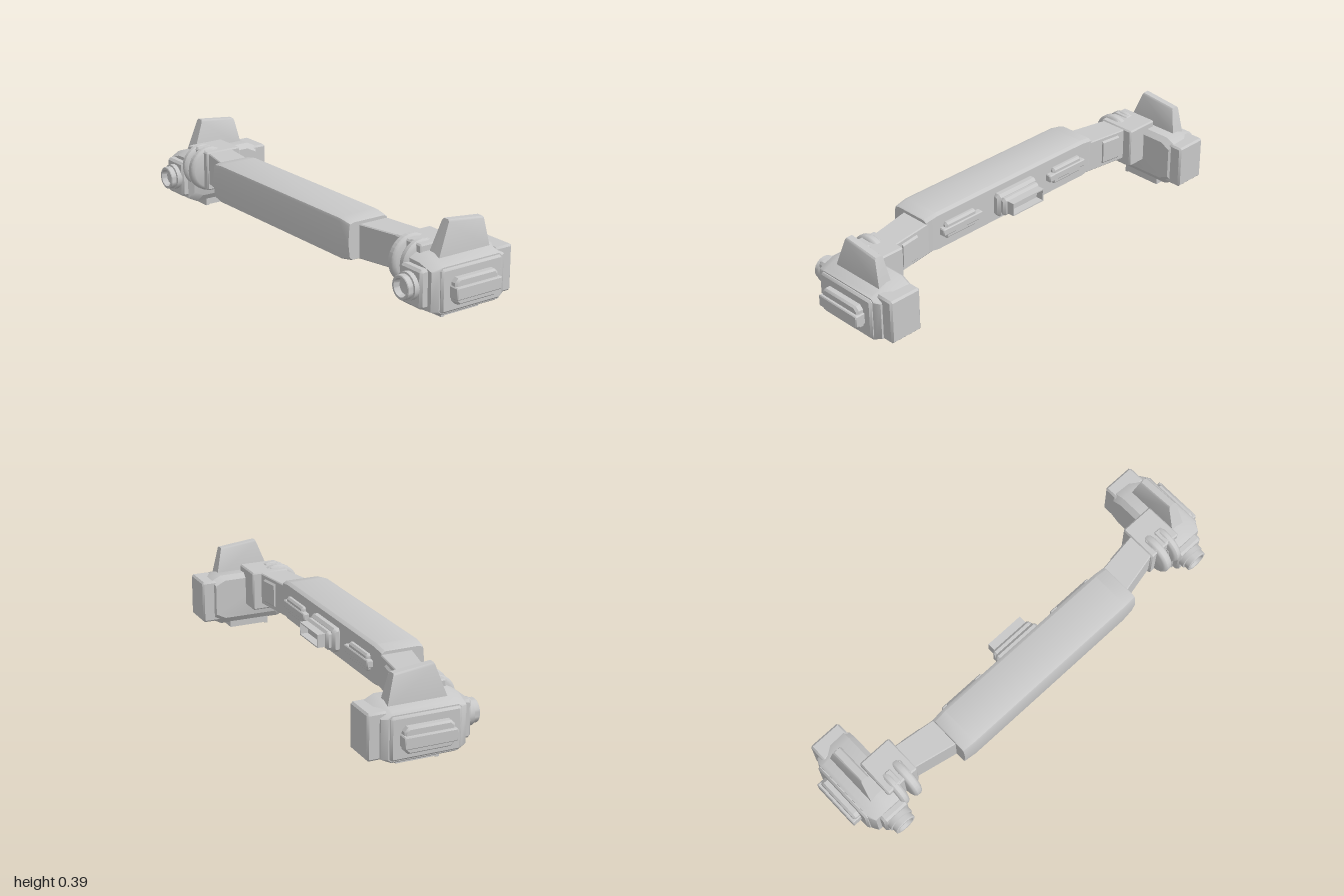
import * as THREE from 'three';
import { toCreasedNormals } from 'three/addons/utils/BufferGeometryUtils.js';
import { ConvexGeometry } from 'three/addons/geometries/ConvexGeometry.js';

const grey = new THREE.MeshStandardMaterial({ color: 0xc8c8c8 });
grey.name = 'light grey';

export function createModel() {
  const model = new THREE.Group();
  model.name = 'headband';

  const add = (name, geometry, x = 0, y = 0, z = 0) => {
    const mesh = new THREE.Mesh(geometry, grey);
    mesh.name = name;
    mesh.position.set(x, y, z);
    model.add(mesh);
  };

  // Eight-cornered cross-section at x, chamfered by cy and cz
  const ring = (x, y0, y1, z0, z1, cy, cz = cy) => [
    [x, y0 + cy, z0], [x, y0, z0 + cz], [x, y0, z1 - cz], [x, y0 + cy, z1],
    [x, y1 - cy, z1], [x, y1, z1 - cz], [x, y1, z0 + cz], [x, y1 - cy, z0],
  ];
  // Convex part from its corners, mirrored by s, with gentle edges smoothed
  const hull = (name, points, s = 1) => {
    const corners = points.map(([x, y, z]) => new THREE.Vector3(s * x, y, z));
    add(name, toCreasedNormals(new ConvexGeometry(corners), 0.6));
  };

  // Box between two corners with all edges chamfered by c
  const block = (name, s, x0, x1, y0, y1, z0, z1, c = 0.008) =>
    hull(name, [
      ...ring(x0, y0 + c, y1 - c, z0 + c, z1 - c, c * 0.4),
      ...ring(x0 + c, y0, y1, z0, z1, c),
      ...ring(x1 - c, y0, y1, z0, z1, c),
      ...ring(x1, y0 + c, y1 - c, z0 + c, z1 - c, c * 0.4),
    ], s);

  const rectangle = (Type, x0, x1, y0, y1) => new Type([
    new THREE.Vector2(x0, y0), new THREE.Vector2(x1, y0),
    new THREE.Vector2(x1, y1), new THREE.Vector2(x0, y1),
  ]);
  const lathe = (profile) => toCreasedNormals(
    new THREE.LatheGeometry(profile.map(([r, y]) => new THREE.Vector2(r, y)), 32), 0.6);

  // Central padded bar
  const bar = [];
  for (const [x, d] of [[-0.49, 0.012], [-0.485, 0.009], [-0.43, 0], [0.43, 0], [0.485, 0.009], [0.49, 0.012]]) {
    for (const [y, z] of [[0.14, 0.025], [0.13, 0.04], [0.13, 0.205], [0.138, 0.218],
      [0.2, 0.226], [0.29, 0.221], [0.301, 0.217], [0.307, 0.2], [0.307, 0.04], [0.297, 0.025]]) {
      bar.push([x, y + Math.sign(0.22 - y) * d, z + (z > 0.12 ? -d * 0.5 : d * 0.3)]);
    }
  }
  hull('centralBar', bar);

  // Centre buckle with an open tray on the back
  block('buckleBase', 1, -0.115, 0.115, 0.165, 0.27, -0.008, 0.035, 0.012);
  block('buckleRim', 1, -0.105, 0.105, 0.177, 0.258, -0.032, 0, 0.01);
  const tray = rectangle(THREE.Shape, -0.09, 0.09, 0.19, 0.248);
  tray.holes.push(rectangle(THREE.Path, -0.085, 0.085, 0.195, 0.243));
  add('buckleTray', new THREE.ExtrudeGeometry(tray, { depth: 0.037, bevelEnabled: false }), 0, 0, -0.067);

  for (const s of [-1, 1]) {
    // Back clips on the bar
    block('clipPlate', s, 0.23, 0.4, 0.182, 0.255, 0.006, 0.035, 0.008);
    block('clipBar', s, 0.2, 0.42, 0.203, 0.236, 0, 0.03, 0.004);

    // Angled arm and its back plate
    hull('arm', [...ring(0.46, 0.138, 0.282, 0.03, 0.172, 0.004),
      ...ring(0.7, 0.138, 0.282, -0.002, 0.12, 0.004)], s);
    hull('armPlate', [...ring(0.55, 0.155, 0.265, 0.01, 0.05, 0.008),
      ...ring(0.64, 0.155, 0.265, -0.002, 0.05, 0.008)], s);

    // Hinge block, top tabs and round hinge discs
    block('hingeBlock', s, 0.672, 0.83, 0.11, 0.287, -0.04, 0.135, 0.006);
    for (const x of [0.7, 0.755]) block('hingeTab', s, x, x + 0.03, 0.27, 0.291, 0.06, 0.13, 0.004);
    for (const [x, r, h] of [[0.722, 0.1, 0.022], [0.785, 0.095, 0.02]]) {
      const disc = lathe([[0, -h], [r - 0.016, -h], [r - 0.006, -h * 0.8], [r, -h * 0.4],
        [r, h * 0.4], [r - 0.006, h * 0.8], [r - 0.016, h], [0, h]]);
      add('hingeDisc', disc.rotateZ(Math.PI / 2), s * x, 0.2, 0.098);
    }

    // Side unit housing
    hull('housing', [
      ...ring(0.762, 0.06, 0.24, -0.185, 0.15, 0.022, 0.045),
      ...ring(0.785, 0.03, 0.26, -0.2, 0.17, 0.022, 0.045),
      ...ring(0.86, 0.03, 0.258, -0.2, 0.17, 0.022, 0.045),
      ...ring(0.93, 0.032, 0.236, -0.195, 0.165, 0.022, 0.045),
      ...ring(0.945, 0.042, 0.228, -0.172, 0.138, 0.012, 0.015),
    ], s);
    block('rearBlock', s, 0.772, 0.922, 0.048, 0.24, -0.246, -0.16, 0.008);
    block('frontPlate', s, 0.785, 0.912, 0.063, 0.222, 0.14, 0.2, 0.01);

    // Outer panel with handle
    block('sidePanel', s, 0.93, 0.957, 0.047, 0.223, -0.165, 0.133, 0.008);
    hull('handlePad', [...ring(0.945, 0.08, 0.186, -0.122, 0.09, 0.016),
      ...ring(0.978, 0.08, 0.186, -0.122, 0.09, 0.016),
      ...ring(0.987, 0.087, 0.179, -0.115, 0.083, 0.014)], s);
    block('handleBar', s, 0.95, 1, 0.105, 0.156, -0.129, 0.095, 0.004);

    // Top fin
    hull('fin', [
      [0.832, 0.235, 0.105], [0.897, 0.235, 0.105], [0.832, 0.235, -0.153], [0.897, 0.235, -0.153],
      [0.849, 0.378, 0.05], [0.888, 0.378, 0.05], [0.849, 0.361, -0.125], [0.888, 0.361, -0.125],
      [0.855, 0.386, 0.047], [0.882, 0.386, 0.047], [0.855, 0.368, -0.122], [0.882, 0.368, -0.122],
    ], s);

    // Front lens with a hollow barrel
    const lens = lathe([[0.057, -0.01], [0.057, 0.022], [0.05, 0.024], [0.05, 0.046], [0.047, 0.049],
      [0.038, 0.049], [0.032, 0.025], [0, 0.02]]);
    add('lens', lens.rotateX(Math.PI / 2), s * 0.847, 0.147, 0.198);

    // Slotted foot underneath
    const foot = rectangle(THREE.Shape, -0.052, 0.052, -0.11, 0.075);
    for (let i = 0; i < 3; i++) {
      const z = -0.098 + i * 0.057;
      foot.holes.push(rectangle(THREE.Path, -0.036, 0.036, z, z + 0.044));
    }
    const footGeometry = new THREE.ExtrudeGeometry(foot, { depth: 0.031, bevelEnabled: false });
    add('foot', footGeometry.rotateX(Math.PI / 2), s * 0.835, 0.035, 0);
    add('footLip', new THREE.BoxGeometry(0.104, 0.02, 0.015), s * 0.835, 0.01, 0.0685);
  }
  return model;
}
